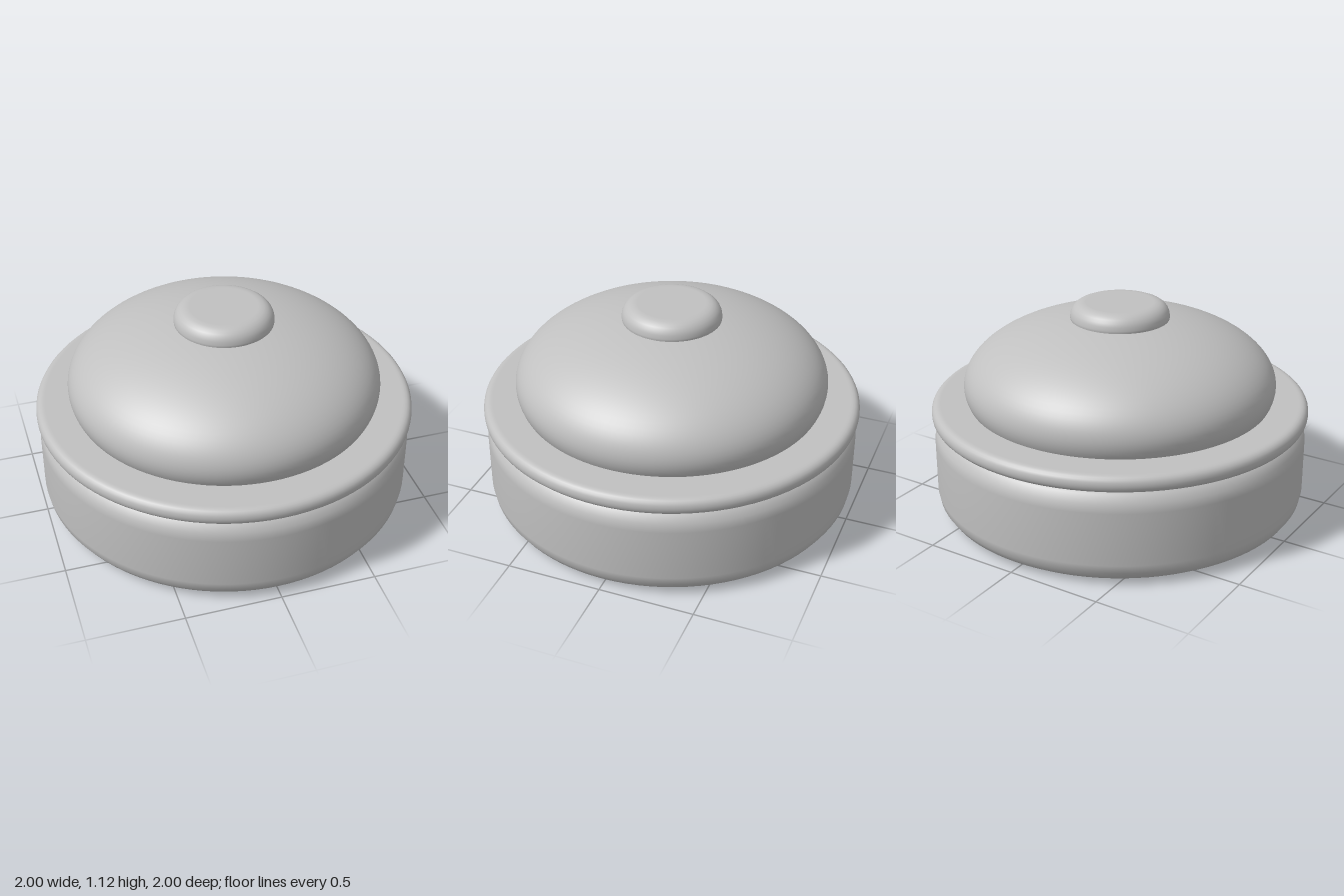
import * as THREE from 'three';

const SEGMENTS = 96;

// Solid disc with rounded upper and lower edges
function roundedDisc(radius, y0, y1, fillet, steps) {
  const points = [new THREE.Vector2(0, y0), new THREE.Vector2(radius - fillet - 0.01, y0)];
  for (const [cy, start] of [[y0 + fillet, -Math.PI / 2], [y1 - fillet, 0]]) {
    for (let i = 0; i <= steps; i++) {
      const a = start + (i / steps) * Math.PI / 2;
      points.push(new THREE.Vector2(radius - fillet + fillet * Math.cos(a), cy + fillet * Math.sin(a)));
    }
  }
  points.push(new THREE.Vector2(radius - fillet - 0.01, y1), new THREE.Vector2(0, y1));
  return new THREE.LatheGeometry(points, SEGMENTS);
}

// Flattened dome that curves back in slightly where it meets the rim
function domeGeometry(radius, height, centreY, baseY) {
  const points = [];
  const start = Math.asin((baseY - centreY) / height);
  for (let i = 0; i <= 28; i++) {
    const a = start + (i / 28) * (Math.PI / 2 - start);
    points.push(new THREE.Vector2(Math.max(0, radius * Math.cos(a)), centreY + height * Math.sin(a)));
  }
  return new THREE.LatheGeometry(points, SEGMENTS);
}

export function createModel() {
  const grey = new THREE.MeshStandardMaterial({ color: 0xc0c0c0 });
  grey.name = 'plain grey';

  const model = new THREE.Group();
  model.name = 'liddedPot';

  const parts = {
    potBody: roundedDisc(0.99, 0, 0.52, 0.12, 4),
    lidRim: roundedDisc(1, 0.505, 0.595, 0.04, 5),
    lidDome: domeGeometry(0.825, 0.37, 0.68, 0.56),
    lidKnob: roundedDisc(0.26, 0.965, 1.117, 0.073, 6),
  };
  for (const [name, geometry] of Object.entries(parts)) {
    const mesh = new THREE.Mesh(geometry, grey);
    mesh.name = name;
    model.add(mesh);
  }
  return model;
}
